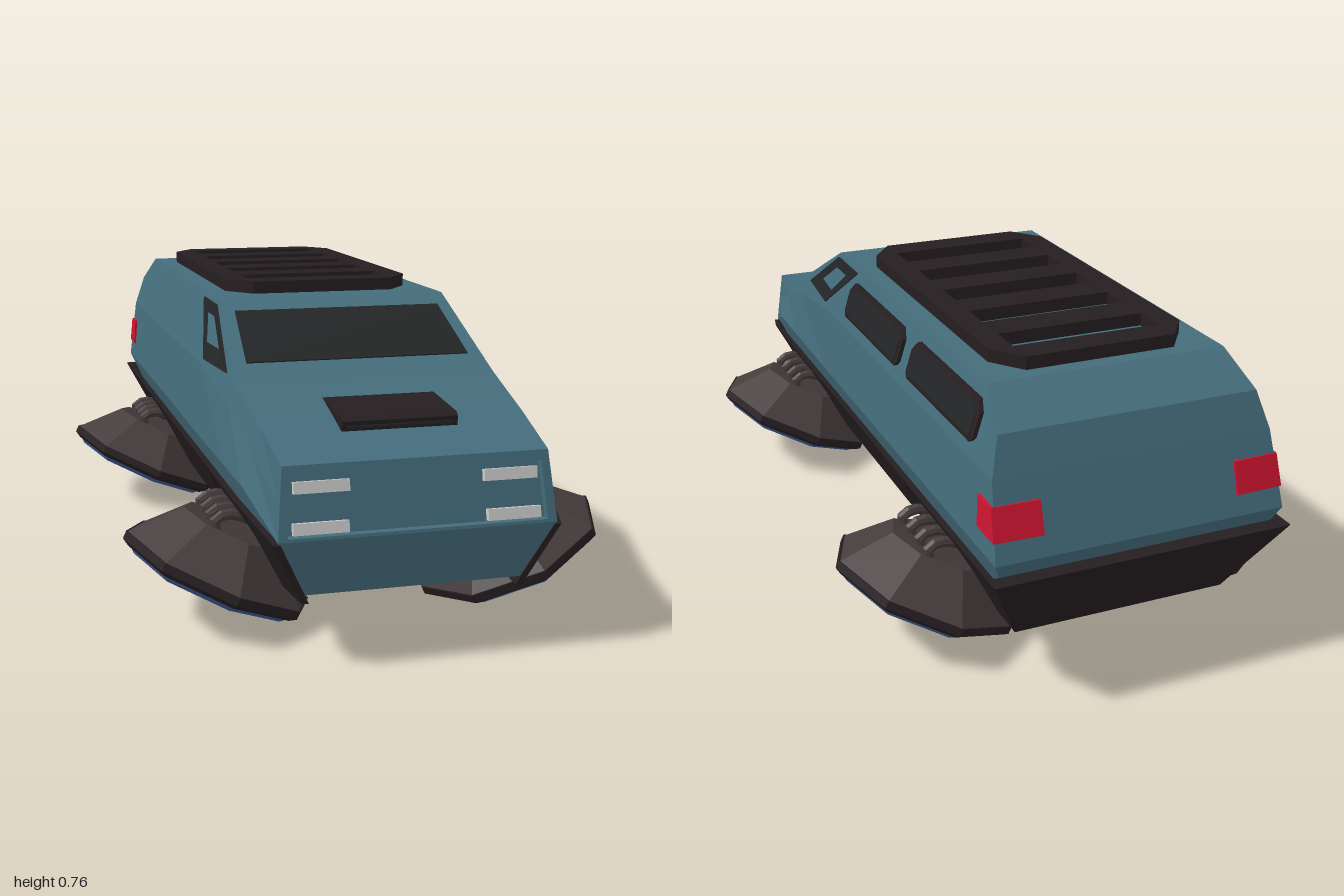
import * as THREE from 'three';

const mat = (color) => new THREE.MeshStandardMaterial({ color, flatShading: true, side: THREE.DoubleSide });
const TEAL = mat(0x456d7c), DARK = mat(0x261e21), GLASS = mat(0x232526), PAD = mat(0x453c3c);
const BLUE = mat(0x41609c), RED = mat(0xcc1430), LAMP = mat(0xcccccc);

function add(parent, name, geometry, material) {
  const mesh = new THREE.Mesh(geometry, material);
  mesh.name = name;
  parent.add(mesh);
  return mesh;
}

// Joins matching loops of points; caps are strips, starting at strip number capA / capB
function loft(rows, capA = 0, capB = 0) {
  const tris = [], n = rows[0].length;
  const quad = (a, b, c, d) => tris.push([a, b, c], [a, c, d]);
  for (let r = 0; r < rows.length - 1; r++) {
    for (let j = 0; j < n; j++) {
      const k = (j + 1) % n;
      quad(rows[r][j], rows[r][k], rows[r + 1][k], rows[r + 1][j]);
    }
  }
  const first = rows[0], last = rows[rows.length - 1];
  for (let i = capA; i < n / 2 - 1; i++) quad(first[n - 1 - i], first[n - 2 - i], first[i + 1], first[i]);
  for (let i = capB; i < n / 2 - 1; i++) quad(last[i], last[i + 1], last[n - 2 - i], last[n - 1 - i]);
  // Turn the faces outward if the enclosed volume is negative
  let volume = 0;
  const v = (p) => new THREE.Vector3(...p);
  for (const [a, b, c] of tris) volume += v(a).dot(v(b).cross(v(c)));
  if (volume < 0) tris.forEach((t) => t.reverse());
  const g = new THREE.BufferGeometry();
  g.setAttribute('position', new THREE.Float32BufferAttribute(tris.flat(2), 3));
  g.computeVertexNormals();
  return g;
}

const shift = (pts, x, y, z) => pts.map((p) => [p[0] + x, p[1] + y, p[2] + z]);
const mirrored = (pts) => pts.concat(pts.map(([x, y, z]) => [-x, y, z]).reverse());
const polygon = (pts, Type = THREE.Shape) => new Type(pts.map((p) => new THREE.Vector2(...p)));

// x of the sloping upper side wall
const wallX = (y, z) => 0.35 - 0.3067 * (y - 0.57) - 0.079 * Math.max(0, z - 0.29);

function addBody(g) {
  // Half sections, front to back: top edge, shoulder, belt line, floor edge
  const sections = [
    [[0.305, 0.465, 0.97], [0.3125, 0.385, 0.985], [0.32, 0.305, 1.0], [0.265, 0.17, 0.96]],
    [[0.315, 0.517, 0.8], [0.331, 0.45, 0.8], [0.355, 0.38, 0.8], [0.27, 0.17, 0.8]],
    [[0.325, 0.572, 0.6], [0.341, 0.52, 0.6], [0.36, 0.385, 0.6], [0.27, 0.17, 0.6]],
    [[0.30, 0.733, 0.29], [0.35, 0.57, 0.29], [0.365, 0.39, 0.29], [0.27, 0.17, 0.29]],
    [[0.30, 0.733, -0.78], [0.35, 0.57, -0.78], [0.365, 0.39, -0.78], [0.27, 0.17, -0.78]],
    [[0.325, 0.66, -0.89], [0.35, 0.57, -0.92], [0.365, 0.39, -0.975], [0.27, 0.17, -0.87]],
  ];
  add(g, 'body', loft(sections.map(mirrored), 2), TEAL);

  // Recessed nose panel with its lip
  const noseZ = (y) => 1 - (y - 0.305) * 0.1875;
  const face = (xTop, yTop, xLow, yLow, d) =>
    mirrored([[xTop, yTop, noseZ(yTop) - d], [xLow, yLow, noseZ(yLow) - d]]);
  add(g, 'nosePanel', loft([
    face(0.305, 0.465, 0.32, 0.305, 0),
    face(0.288, 0.442, 0.298, 0.312, 0),
    face(0.288, 0.442, 0.298, 0.312, 0.02),
  ], 1), TEAL);
  for (const s of [-1, 1]) {
    for (const [x, y] of [[0.217, 0.414], [0.222, 0.327]]) {
      const lamp = add(g, 'headlight', new THREE.BoxGeometry(0.125, 0.026, 0.02), LAMP);
      lamp.position.set(s * x, y, noseZ(y) - 0.015);
      lamp.rotation.x = -0.185;
    }
    // Tail lights wrapping round the rear corners
    const light = (x, w) => [[s * x, 0.515, -0.865], [s * x, 0.515, -0.943 + w],
      [s * (x + w), 0.44, -0.967 + w], [s * (x + w), 0.44, -0.87]];
    add(g, 'tailLight', loft([light(0.245, 0), light(0.361, 0.004)]), RED);
  }
}

function addWindows(g) {
  const screen = mirrored([[0.27, 0.707, 0.34], [0.283, 0.608, 0.53]]);
  add(g, 'windscreen', loft([shift(screen, 0, -0.01, -0.005), shift(screen, 0, 0.003, 0.002)]), GLASS);

  // Slanted front side windows
  const quarter = [[0.52, 0.585], [0.31, 0.585], [0.12, 0.72], [0.29, 0.72]];
  for (const s of [-1, 1]) {
    const pts = quarter.map(([z, y]) => [s * wallX(y, z), y, z]);
    add(g, 'frontSideWindow', loft([shift(pts, -s * 0.008, 0, 0), shift(pts, s * 0.004, 0, 0)]), GLASS);
  }

  // Raised rear windows on the left side only
  const outline = (z, w, h, c) => [[w - c, h], [w, h - c], [w, -h + c / 2], [w - c / 2, -h],
    [-w + c / 2, -h], [-w, -h + c / 2], [-w, h - c], [-w + c, h]]
    .map(([dz, dy]) => [wallX(0.652 + dy, 0), 0.652 + dy, z + dz]);
  for (const z of [-0.09, -0.585]) {
    const frame = outline(z, 0.215, 0.047, 0.025);
    const inner = shift(outline(z, 0.2, 0.036, 0.02), 0.012, 0, 0);
    add(g, 'sideWindowFrame', loft([shift(frame, -0.01, 0, 0), shift(frame, 0.01, 0, 0), inner]), DARK);
    add(g, 'sideWindowGlass', loft([shift(inner, -0.004, 0, 0), shift(inner, 0.002, 0, 0)]), GLASS);
  }
}

function addRoofRack(g) {
  const rack = polygon([[-0.19, -0.2], [0.19, -0.2], [0.25, -0.12], [0.25, 0.66],
    [0.19, 0.74], [-0.19, 0.74], [-0.25, 0.66], [-0.25, -0.12]]);
  for (let i = 0; i < 5; i++) {
    const a = -0.12 + i * 0.175, b = a + 0.086;
    rack.holes.push(polygon([[-0.19, a], [-0.19, b], [0.19, b], [0.19, a]], THREE.Path));
  }
  const geo = new THREE.ExtrudeGeometry(rack, { depth: 0.037, bevelEnabled: false });
  geo.rotateX(-Math.PI / 2);
  add(g, 'roofRack', geo, DARK).position.y = 0.728;
}

function addHoodScoop(g) {
  const side = (x) => [[x, 0.55, 0.67], [x, 0.533, 0.84], [x, 0.525, 0.85], [x, 0.49, 0.845], [x, 0.49, 0.8], [x, 0.53, 0.67]];
  add(g, 'hoodScoop', loft([side(-0.137), side(0.137)]), DARK);
  add(g, 'scoopSlat', new THREE.BoxGeometry(0.25, 0.006, 0.008), GLASS).position.set(0, 0.512, 0.85);
}

function addSkirts(g) {
  // Side panel outline (z, y) with two wheel arches, leaned inward toward the floor
  const arch = (a, b) => [[a, 0.15], [a, 0.27], [a + 0.06, 0.32], [b - 0.06, 0.32], [b, 0.27], [b, 0.15]];
  const panel = polygon([[-0.88, 0.15], ...arch(-0.78, -0.33), ...arch(0.39, 0.84),
    [0.96, 0.15], [1.0, 0.3], [0.8, 0.352], [-0.995, 0.352]]);
  for (const s of [-1, 1]) {
    const geo = new THREE.ExtrudeGeometry(panel, { depth: 0.016, bevelEnabled: false });
    const p = geo.attributes.position;
    for (let i = 0; i < p.count; i++) {
      const z = p.getX(i), y = p.getY(i), d = p.getZ(i);
      const x = 0.36 - (0.35 - y) * 0.51 - Math.max(0, z - 0.8) * 0.1 + d;
      p.setXYZ(i, s * x, y, z);
    }
    geo.computeVertexNormals();
    add(g, 'sideSkirt', geo, DARK);
  }
  const slab = (z) => mirrored([[0.375, 0.352, -0.998 + z], [0.273, 0.15, -0.88 + z]]);
  add(g, 'rearSkirt', loft([slab(0), slab(0.04)]), DARK);
}

// Eight-sided tilted hover pad with bent struts into the body
function makeHoverPad() {
  const unit = new THREE.Group();
  unit.name = 'hoverPad';
  const disc = new THREE.Group();
  disc.name = 'padDisc';
  disc.position.set(0.375, 0.12, 0);
  disc.rotation.z = THREE.MathUtils.degToRad(25);
  unit.add(disc);
  const layers = [['padShell', 0.14, 0.24, 0.014, 0.115, PAD], ['padRim', 0.244, 0.244, -0.006, 0.014, DARK],
    ['padRimEdge', 0.244, 0.226, -0.018, -0.006, DARK], ['padEmitter', 0.22, 0.205, -0.031, -0.018, BLUE]];
  for (const [name, top, bottom, y0, y1, m] of layers) {
    add(disc, name, new THREE.CylinderGeometry(top, bottom, y1 - y0, 8), m).position.y = (y0 + y1) / 2;
  }
  const path = new THREE.CatmullRomCurve3([[0.39, 0.23], [0.395, 0.272], [0.36, 0.285], [0.28, 0.255]]
    .map(([x, y]) => new THREE.Vector3(x, y, 0)));
  for (let i = 0; i < 4; i++) {
    add(unit, 'padStrut', new THREE.TubeGeometry(path, 8, 0.014, 8), PAD).position.z = (i - 1.5) * 0.06;
  }
  return unit;
}

export function createModel() {
  const g = new THREE.Group();
  g.name = 'hoverVan';
  addBody(g);
  addWindows(g);
  addRoofRack(g);
  addHoodScoop(g);
  addSkirts(g);
  for (const z of [0.6, -0.555]) {
    for (const turn of [0, Math.PI]) {
      const pad = makeHoverPad();
      pad.position.z = z;
      pad.rotation.y = turn;
      g.add(pad);
    }
  }
  return g;
}
